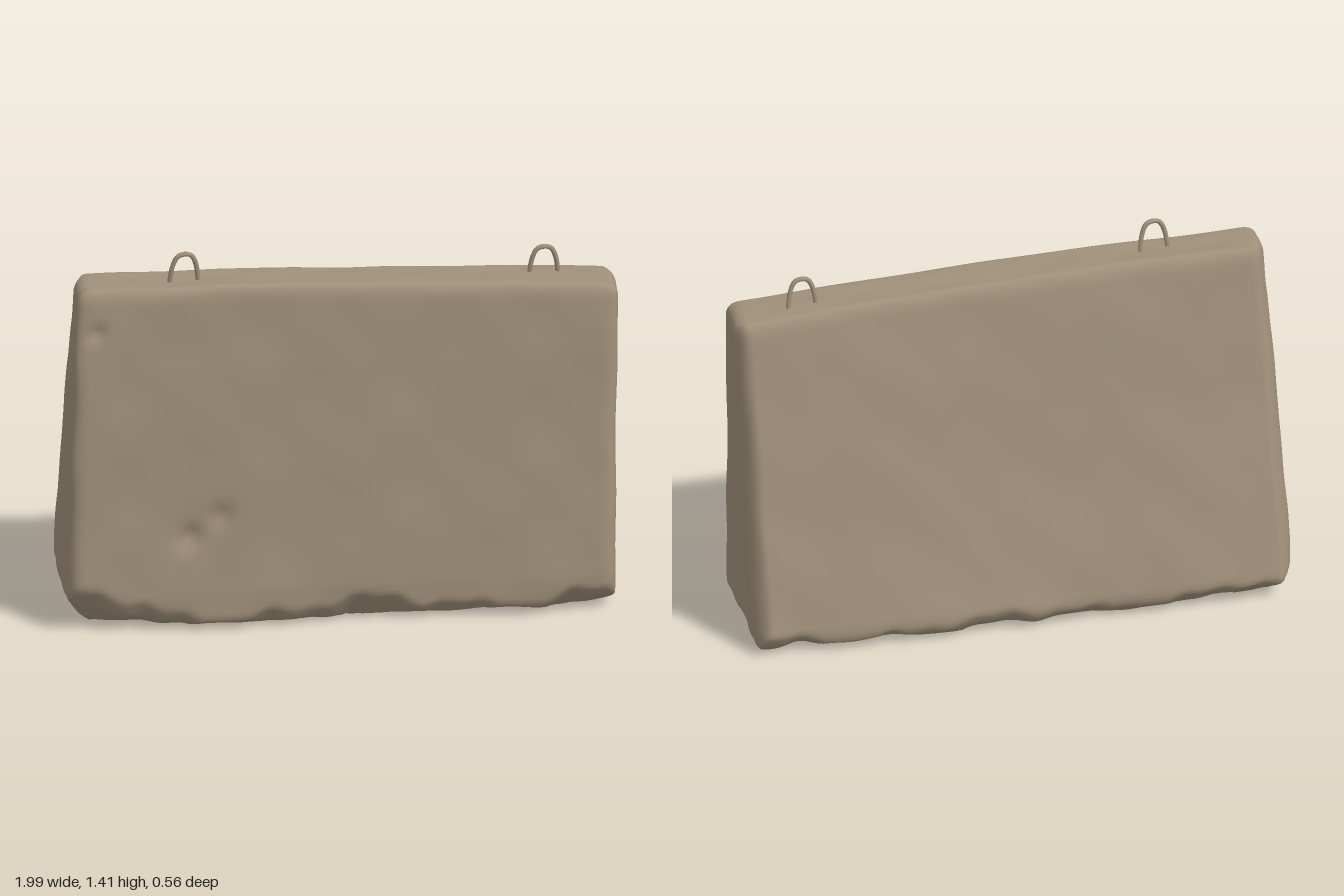
import * as THREE from 'three';
import { mergeVertices } from 'three/addons/utils/BufferGeometryUtils.js';

const concrete = new THREE.MeshStandardMaterial({ color: 0xa0907a });
concrete.name = 'concrete';

// Piecewise-linear lookup through [position, value] pairs
function along(points, p) {
  for (let i = 1; i < points.length; i++) {
    const [a, va] = points[i - 1], [b, vb] = points[i];
    if (p <= b || i === points.length - 1) return THREE.MathUtils.lerp(va, vb, THREE.MathUtils.clamp((p - a) / (b - a), 0, 1));
  }
}

// Smooth lumpy noise, roughly -1..1
const lumps = (x, y, z) =>
  (Math.sin(4.1 * x + 2.3 * y + 1.7 * z + 0.5) * Math.cos(5.2 * y - 1.9 * x + 3 * z) +
    0.6 * Math.sin(9.3 * x - 6.1 * y + 5 * z + 1.3) * Math.cos(8.7 * y + 3.1 * x) +
    0.35 * Math.sin(19 * x + 4 * z + 2) * Math.sin(17 * y + 7 * z)) / 1.6;

const frontZ = [[0, 0.265], [0.15, 0.265], [0.5, 0.235], [1, 0.2], [1.3, 0.172]];
const backZ = [[0, -0.275], [0.08, -0.275], [0.5, -0.18], [0.8, -0.115], [1.3, -0.012]];
const leftEnd = [[0, 0.975], [0.6, 0.985], [1.25, 0.995]];
const rightEnd = [[0, -0.985], [0.2, -0.995], [0.6, -0.98], [1.3, -0.95]];
// [x, y, radius, depth] of small hollows in the front face
const hollows = [[-0.55, 0.36, 0.06, 0.022], [-0.44, 0.44, 0.06, 0.016], [-0.88, 1.15, 0.04, 0.018], [-0.5, 0.4, 0.13, 0.008]];

function createBlock() {
  const half = [0.98, 0.65, 0.19], r = 0.05;
  let geo = new THREE.BoxGeometry(1.96, 1.3, 0.38, 96, 64, 24);
  geo.deleteAttribute('uv');
  geo.deleteAttribute('normal');
  geo = mergeVertices(geo);
  const pos = geo.attributes.position;
  const p = new THREE.Vector3(), core = new THREE.Vector3();
  for (let i = 0; i < pos.count; i++) {
    // Round the edges
    p.fromBufferAttribute(pos, i);
    core.set(...[p.x, p.y, p.z].map((v, k) => THREE.MathUtils.clamp(v, r - half[k], half[k] - r)));
    p.sub(core).normalize().multiplyScalar(r).add(core);

    // Taper into the wedge, with the top sloping down to one side
    const u = p.x / half[0], t = (p.y + half[1]) / 1.3, w = (p.z / half[2] + 1) / 2;
    let y = 0.006 + t * (1.285 - 0.035 * u + 0.008 * Math.cos(2.6 * u) - 0.006);
    const zf = along(frontZ, y), zb = along(backZ, y);
    let z = THREE.MathUtils.lerp(zb, zf, w);
    let x = THREE.MathUtils.lerp(along(rightEnd, y), along(leftEnd, y), (u + 1) / 2);

    // Chamfer the two rear vertical corners
    x -= Math.sign(x) * 0.5 * Math.max(0, 0.06 - (1 - Math.abs(u)) - (z - zb));

    // Broken bottom edges, worst at the front and at one corner
    const ragged = 0.075 + 0.03 * Math.sin(7 * x + 1) + 0.018 * Math.sin(17 * x) + 0.01 * Math.sin(41 * x);
    const corner = 0.1 * THREE.MathUtils.smoothstep(-x, 0.65, 1);
    const chipF = Math.max(0, ragged + corner - y - 1.3 * (zf - z));
    const chipB = Math.max(0, ragged * 0.8 - y - 1.3 * (z - zb));
    const chipL = Math.max(0, 0.13 - y - 1.3 * (x + 1));
    y += 0.25 * (chipF + chipB + chipL);
    z += 0.4 * (chipB - chipF);
    x += 0.35 * chipL;

    // Hollows in the front face
    if (w > 0.9) for (const [hx, hy, hr, depth] of hollows)
      z -= depth * Math.exp(-((x - hx) ** 2 + (y - hy) ** 2) / (hr * hr * 0.5));

    // Weathered surface, rougher near the ground
    const rough = 0.006 + 0.008 * Math.max(0, 1 - y / 0.2);
    z += rough * lumps(x, y, w * 2) * (w * 2 - 1);
    x += 0.006 * lumps(z * 2, y, u) * u;
    y += 0.005 * lumps(x, z * 3, 2) * t + 0.014 * (1 - t) ** 8 * (1 + lumps(x * 1.5, z * 4, 5));
    pos.setXYZ(i, x, Math.max(0, y), z);
  }
  geo.computeVertexNormals();
  const mesh = new THREE.Mesh(geo, concrete);
  mesh.name = 'concreteBlock';
  return mesh;
}

// Bent steel lifting loop with both feet sunk into the top
function createLoop(name, x, z, base, top, turn) {
  const h = top - base;
  const points = [[-0.054, -0.05], [-0.051, 0], [-0.041, h * 0.6], [-0.024, h * 0.93], [0, h],
    [0.024, h * 0.93], [0.041, h * 0.6], [0.051, 0], [0.054, -0.05]]
    .map(([px, py]) => new THREE.Vector3(px, py, 0.1 * py));
  const curve = new THREE.CatmullRomCurve3(points);
  const mesh = new THREE.Mesh(new THREE.TubeGeometry(curve, 40, 0.009, 8), concrete);
  mesh.name = name;
  mesh.position.set(x, base, z);
  mesh.rotation.y = turn;
  return mesh;
}

export function createModel() {
  const group = new THREE.Group();
  group.name = 'concreteBarrier';
  group.add(
    createBlock(),
    createLoop('rightLiftingLoop', -0.557, 0.09, 1.315, 1.41, 0.14),
    createLoop('leftLiftingLoop', 0.738, 0.058, 1.262, 1.36, 0.07),
  );
  return group;
}
